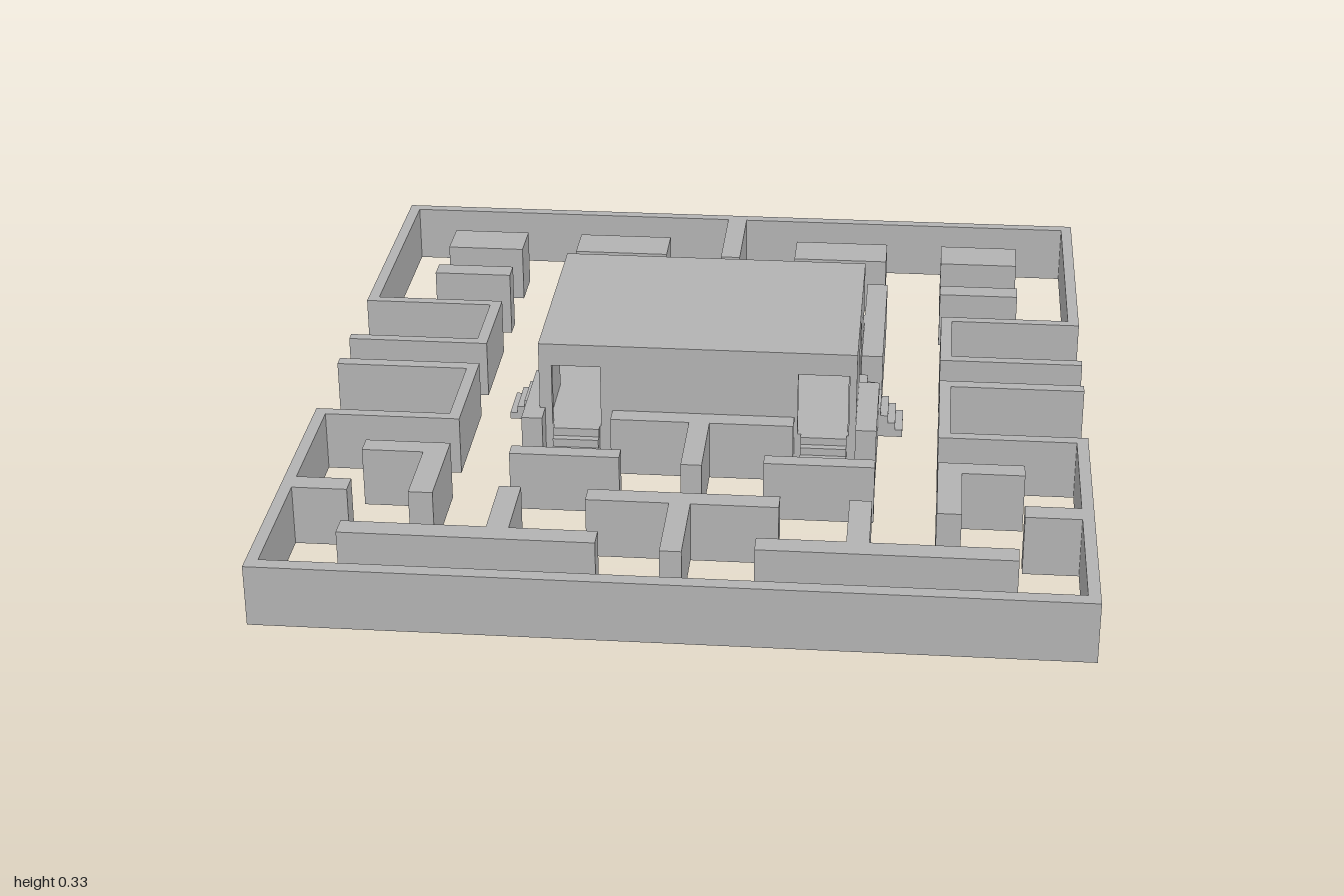
import * as THREE from 'three';

export function createModel() {
  const model = new THREE.Group();
  model.name = 'mazeCourtyard';
  const stone = new THREE.MeshStandardMaterial({ color: 0xb2b2b2 });
  stone.name = 'grey stone';

  const add = (parent, name, geometry) => {
    const mesh = new THREE.Mesh(geometry, stone);
    mesh.name = name;
    parent.add(mesh);
    return mesh;
  };
  const group = (name) => {
    const g = new THREE.Group();
    g.name = name;
    model.add(g);
    return g;
  };
  // Box given by its limits
  const block = (parent, name, x0, x1, z0, z1, y0 = 0.02, y1 = 0.163) =>
    add(parent, name, new THREE.BoxGeometry(x1 - x0, y1 - y0, z1 - z0))
      .position.set((x0 + x1) / 2, (y0 + y1) / 2, (z0 + z1) / 2);
  // The same box on both sides of the maze
  const pair = (parent, name, x0, x1, z0, z1) => {
    block(parent, name + 'Left', x0, x1, z0, z1);
    block(parent, name + 'Right', -x1, -x0, z0, z1);
  };

  // Outer wall with stepped-in sides and tunnel walls
  const outer = group('outerWall');
  block(outer, 'backWall', -0.905, 0.905, -1, -0.972);
  block(outer, 'frontWall', -0.905, 0.905, 0.962, 0.995);
  pair(outer, 'backSideWall', 0.878, 0.905, -0.972, -0.39);
  pair(outer, 'frontSideWall', 0.878, 0.905, 0.275, 0.962);
  pair(outer, 'backReturn', 0.56, 0.905, -0.39, -0.365);
  pair(outer, 'backTunnelEnd', 0.56, 0.587, -0.365, -0.163);
  pair(outer, 'backTunnelWall', 0.56, 0.905, -0.163, -0.137);
  pair(outer, 'frontTunnelWall', 0.56, 0.905, -0.025, 0.006);
  pair(outer, 'frontTunnelEnd', 0.56, 0.587, 0.006, 0.248);
  pair(outer, 'frontReturn', 0.56, 0.905, 0.248, 0.275);
  block(outer, 'backStub', -0.025, 0.025, -0.972, -0.718);
  pair(outer, 'sideStub', 0.753, 0.878, 0.587, 0.638);

  // Free-standing walls
  const maze = group('mazeWalls');
  pair(maze, 'outerBlock', 0.556, 0.753, -0.836, -0.722);
  pair(maze, 'innerBlock', 0.17, 0.412, -0.836, -0.722);
  block(maze, 'smallBlockRight', -0.755, -0.56, -0.58, -0.525, 0.01, 0.175);
  block(maze, 'smallBlockLeft', 0.556, 0.753, -0.58, -0.525);
  block(maze, 'backTeeBar', -0.21, 0.218, -0.59, -0.54);
  block(maze, 'backTeeStem', -0.025, 0.022, -0.54, -0.328);
  pair(maze, 'backLongWall', 0.368, 0.42, -0.575, -0.145);
  pair(maze, 'backCrossWall', 0.157, 0.368, -0.385, -0.337);
  pair(maze, 'frontShortWall', 0.367, 0.416, 0, 0.255);
  block(maze, 'middleTeeBar', -0.207, 0.222, 0.2, 0.247);
  block(maze, 'middleTeeStem', -0.022, 0.026, 0.247, 0.457);
  pair(maze, 'frontBar', 0.165, 0.418, 0.397, 0.436);
  pair(maze, 'cornerBar', 0.56, 0.757, 0.397, 0.446);
  pair(maze, 'cornerLeg', 0.56, 0.615, 0.446, 0.637);
  block(maze, 'frontTeeBar', -0.217, 0.213, 0.59, 0.64);
  block(maze, 'frontTeeStem', -0.031, 0.017, 0.64, 0.853);
  pair(maze, 'longBar', 0.172, 0.738, 0.779, 0.831);
  pair(maze, 'longBarStem', 0.367, 0.417, 0.593, 0.779);

  // Hollow central house with doorways
  const house = group('house');
  const X0 = -0.38, X1 = 0.367, Z0 = -0.328, Z1 = 0.2;
  const bottom = 0.015, floor = 0.12, top = 0.33, doorTop = 0.275, t = 0.02;
  block(house, 'floor', X0 + t, X1 - t, Z0 + t, Z1 - t, bottom, floor);
  block(house, 'roof', X0, X1, Z0, Z1, top - t, top);
  const wallShape = (a, b, doors) => {
    const rect = (p, l, r, lo, hi) =>
      p.moveTo(l, lo).lineTo(r, lo).lineTo(r, hi).lineTo(l, hi).closePath();
    const shape = rect(new THREE.Shape(), a, b, bottom, top - t);
    for (const [l, r] of doors) shape.holes.push(rect(new THREE.Path(), l, r, floor, doorTop));
    return new THREE.ExtrudeGeometry(shape, { depth: t, bevelEnabled: false });
  };
  const frontDoors = [[-0.35, -0.235], [0.23, 0.35]];
  const backDoors = [[-0.145, -0.03], [0.04, 0.155]];
  const sideDoor = [[-0.13, -0.012]];
  add(house, 'houseFront', wallShape(X0, X1, frontDoors).translate(0, 0, Z1 - t));
  add(house, 'houseBack', wallShape(X0, X1, backDoors).translate(0, 0, Z0));
  for (const [name, x] of [['houseLeft', X1], ['houseRight', X0 + t]])
    add(house, name, wallShape(Z0 + t, Z1 - t, sideDoor).rotateY(-Math.PI / 2).translate(x, 0, 0));

  // Stairs, built as a stepped side profile that descends along +z
  const stairs = (name, x, z, angle, base) => {
    const n = 6, run = 0.107 / n, rise = (floor - base) / n;
    const profile = new THREE.Shape().moveTo(0, base).lineTo(0, floor);
    for (let i = 1; i <= n; i++) {
      profile.lineTo(i * run, floor - (i - 1) * rise);
      profile.lineTo(i * run, floor - i * rise);
    }
    const g = new THREE.ExtrudeGeometry(profile, { depth: 0.108, bevelEnabled: false });
    g.translate(0, 0, -0.054).rotateY(-Math.PI / 2);
    const mesh = add(model, name, g);
    mesh.position.set(x, 0, z);
    mesh.rotation.y = angle;
  };
  stairs('frontStairsRight', -0.292, Z1, 0, 0);
  stairs('frontStairsLeft', 0.292, Z1, 0, 0.01);
  stairs('backStairsRight', -0.088, Z0, Math.PI, 0.01);
  stairs('backStairsLeft', 0.097, Z0, Math.PI, 0.01);
  stairs('sideStairsLeft', X1, -0.075, Math.PI / 2, 0.008);
  stairs('sideStairsRight', X0, -0.075, -Math.PI / 2, 0.017);

  return model;
}
